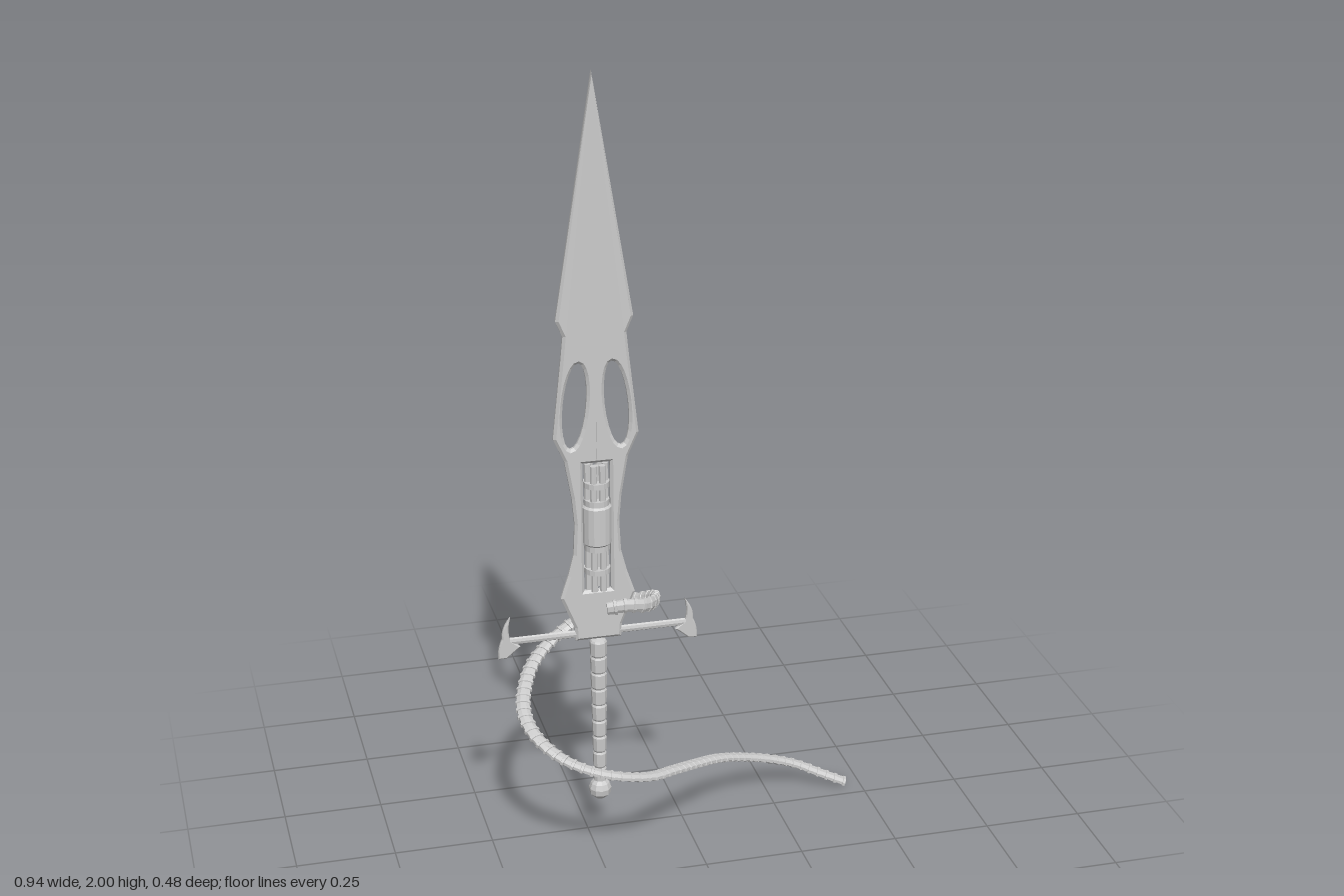
import * as THREE from 'three';

const mat = new THREE.MeshStandardMaterial({ color: 0xcccccc, flatShading: true, side: THREE.DoubleSide });

function add(parent, name, geometry, x = 0, y = 0, z = 0) {
  const mesh = new THREE.Mesh(geometry, mat);
  mesh.name = name;
  mesh.position.set(x, y, z);
  parent.add(mesh);
  return mesh;
}

// Flat blade with two slanted eye holes and a window for the barrels
function bladeGeometry() {
  const half = [[0.095, 1.4], [0.078, 1.36], [0.084, 1.3], [0.095, 1.2], [0.106, 1.1], [0.079, 1.04],
    [0.062, 0.94], [0.056, 0.87], [0.06, 0.79], [0.074, 0.735], [0.094, 0.675], [0.06, 0.59], [0.058, 0.555]];
  const pts = [[0, 2], ...half, ...half.map(([x, y]) => [-x, y]).reverse()];
  const shape = new THREE.Shape(pts.map(([x, y]) => new THREE.Vector2(x, y)));
  for (const s of [-1, 1]) {
    const eye = new THREE.Path();
    eye.absellipse(s * 0.052, 1.18, 0.029, 0.11, 0, Math.PI * 2, false, s * 0.1);
    shape.holes.push(eye);
  }
  shape.holes.push(new THREE.Path([[-0.034, 0.69], [0.034, 0.69], [0.034, 1.03], [-0.034, 1.03]]
    .map(([x, y]) => new THREE.Vector2(x, y))));
  const g = new THREE.ExtrudeGeometry(shape, {
    depth: 0.007, curveSegments: 12, bevelThickness: 0.006, bevelSize: 0.007, bevelOffset: -0.007, bevelSegments: 1,
  });
  return g.translate(0, 0, -0.0035);
}

// Crescent hook on each end of the guard
function hookGeometry() {
  const s = new THREE.Shape();
  s.moveTo(0.222, 0.638);
  s.quadraticCurveTo(0.246, 0.61, 0.244, 0.58);
  s.quadraticCurveTo(0.256, 0.555, 0.254, 0.527);
  s.lineTo(0.232, 0.528);
  s.quadraticCurveTo(0.218, 0.54, 0.198, 0.556);
  s.lineTo(0.222, 0.575);
  s.quadraticCurveTo(0.232, 0.6, 0.222, 0.638);
  return new THREE.ExtrudeGeometry(s, {
    depth: 0.006, curveSegments: 6, bevelThickness: 0.003, bevelSize: 0.003, bevelOffset: -0.003, bevelSegments: 1,
  }).translate(0, 0, -0.003);
}

// Ribbon-like cord swept along a curve, stepped into overlapping links
function cordGeometry() {
  const path = [[-0.2, 0.64, 0.035], [-0.15, 0.645, 0.04], [-0.1, 0.635, 0.028], [-0.065, 0.62, -0.02],
    [-0.047, 0.59, -0.1], [-0.07, 0.56, -0.16], [-0.13, 0.528, -0.208], [-0.21, 0.495, -0.224],
    [-0.29, 0.457, -0.198], [-0.355, 0.425, -0.14], [-0.395, 0.395, -0.06], [-0.413, 0.37, 0.02],
    [-0.4, 0.343, 0.1], [-0.35, 0.312, 0.17], [-0.28, 0.287, 0.21], [-0.21, 0.268, 0.219],
    [-0.13, 0.242, 0.192], [-0.06, 0.22, 0.138], [0.01, 0.193, 0.075], [0.1, 0.158, 0],
    [0.2, 0.115, -0.058], [0.28, 0.083, -0.083], [0.34, 0.06, -0.084], [0.4, 0.035, -0.066], [0.46, 0.012, -0.047]];
  const curve = new THREE.CatmullRomCurve3(path.map(p => new THREE.Vector3(...p)));
  const links = 82, sides = 8, up = new THREE.Vector3(0, 1, 0);
  const pos = [], index = [];
  let rings = 0;
  const ring = (t, scale) => {
    const c = curve.getPointAt(t), tan = curve.getTangentAt(t);
    const side = new THREE.Vector3().crossVectors(tan, up).normalize();
    const nor = new THREE.Vector3().crossVectors(side, tan);
    // Stands on edge at the blade and lies flat further along
    const twist = (1 - THREE.MathUtils.smoothstep(t, 0.05, 0.33)) * Math.PI / 2;
    for (let j = 0; j < sides; j++) {
      const a = (j + 0.5) / sides * Math.PI * 2;
      const u = Math.cos(a) * 0.019 * scale, v = Math.sin(a) * 0.01 * scale;
      const p = c.clone()
        .addScaledVector(side, u * Math.cos(twist) - v * Math.sin(twist))
        .addScaledVector(nor, u * Math.sin(twist) + v * Math.cos(twist));
      pos.push(p.x, p.y, p.z);
    }
    if (rings > 0) {
      for (let j = 0; j < sides; j++) {
        const k = (j + 1) % sides, a = (rings - 1) * sides, b = rings * sides;
        index.push(a + j, a + k, b + j, a + k, b + k, b + j);
      }
    }
    rings++;
  };
  ring(0, 0.01);
  for (let i = 0; i < links; i++) {
    ring(i / links, 0.88);
    ring((i + 0.68) / links, 0.95);
    ring((i + 0.72) / links, 1.1);
    ring((i + 0.98) / links, 1.1);
  }
  ring(1, 0.01);
  const g = new THREE.BufferGeometry();
  g.setAttribute('position', new THREE.Float32BufferAttribute(pos, 3));
  g.setIndex(index);
  g.computeVertexNormals();
  return g;
}

const lathe = (pts, n) => new THREE.LatheGeometry(pts.map(([r, y]) => new THREE.Vector2(r, y)), n);

export function createModel() {
  const model = new THREE.Group();
  const sword = new THREE.Group();
  sword.name = 'sword';
  sword.position.set(-0.22, 0, 0.018);
  model.add(sword);

  add(sword, 'blade', bladeGeometry());
  const ridge = add(sword, 'bladeRidge', new THREE.CylinderGeometry(0.001, 0.0045, 0.68, 4), 0, 1.38, 0);
  ridge.scale.z = 2.5;

  // Rotary barrel bundle held in the blade window
  const barrels = new THREE.Group();
  barrels.name = 'barrels';
  sword.add(barrels);
  for (let i = 0; i < 6; i++) {
    const a = i / 6 * Math.PI * 2;
    add(barrels, 'barrel', new THREE.CylinderGeometry(0.0085, 0.0085, 0.335, 8), Math.cos(a) * 0.022, 0.86, Math.sin(a) * 0.022);
  }
  add(barrels, 'barrelCore', new THREE.CylinderGeometry(0.009, 0.009, 0.32, 8), 0, 0.86, 0);
  for (const y of [0.745, 0.975]) {
    add(barrels, 'barrelRing', new THREE.CylinderGeometry(0.033, 0.033, 0.014, 16), 0, y, 0);
  }
  add(barrels, 'barrelSleeve', lathe([[0, 0.8], [0.032, 0.8], [0.032, 0.815], [0.037, 0.82], [0.037, 0.915],
    [0.032, 0.92], [0.032, 0.935], [0, 0.935]], 16));

  // Cross guard
  const bar = add(sword, 'guardBar', new THREE.CylinderGeometry(0.01, 0.01, 0.46, 8), 0, 0.572, 0);
  bar.rotation.z = Math.PI / 2;
  bar.scale.z = 0.6;
  for (const s of [-1, 1]) {
    const hook = add(sword, 'guardHook', hookGeometry());
    if (s < 0) hook.rotation.y = Math.PI;
  }

  // Wrapped grip made of stepped bands
  const grip = [[0, 0.555]];
  const bands = 9;
  for (let i = 0; i < bands; i++) {
    const top = 0.55 - i * 0.045, r = 0.022 - i * 0.0006;
    grip.push([r - 0.003, top], [r, top - 0.005], [r - 0.001, top - 0.04], [r - 0.003, top - 0.044]);
  }
  grip.push([0, 0.14]);
  add(sword, 'grip', lathe(grip.reverse(), 10));
  add(sword, 'pommel', lathe([[0, 0.1], [0.014, 0.102], [0.027, 0.115], [0.029, 0.13], [0.024, 0.144], [0.014, 0.155], [0, 0.155]], 10));

  add(model, 'whipCord', cordGeometry());
  return model;
}
